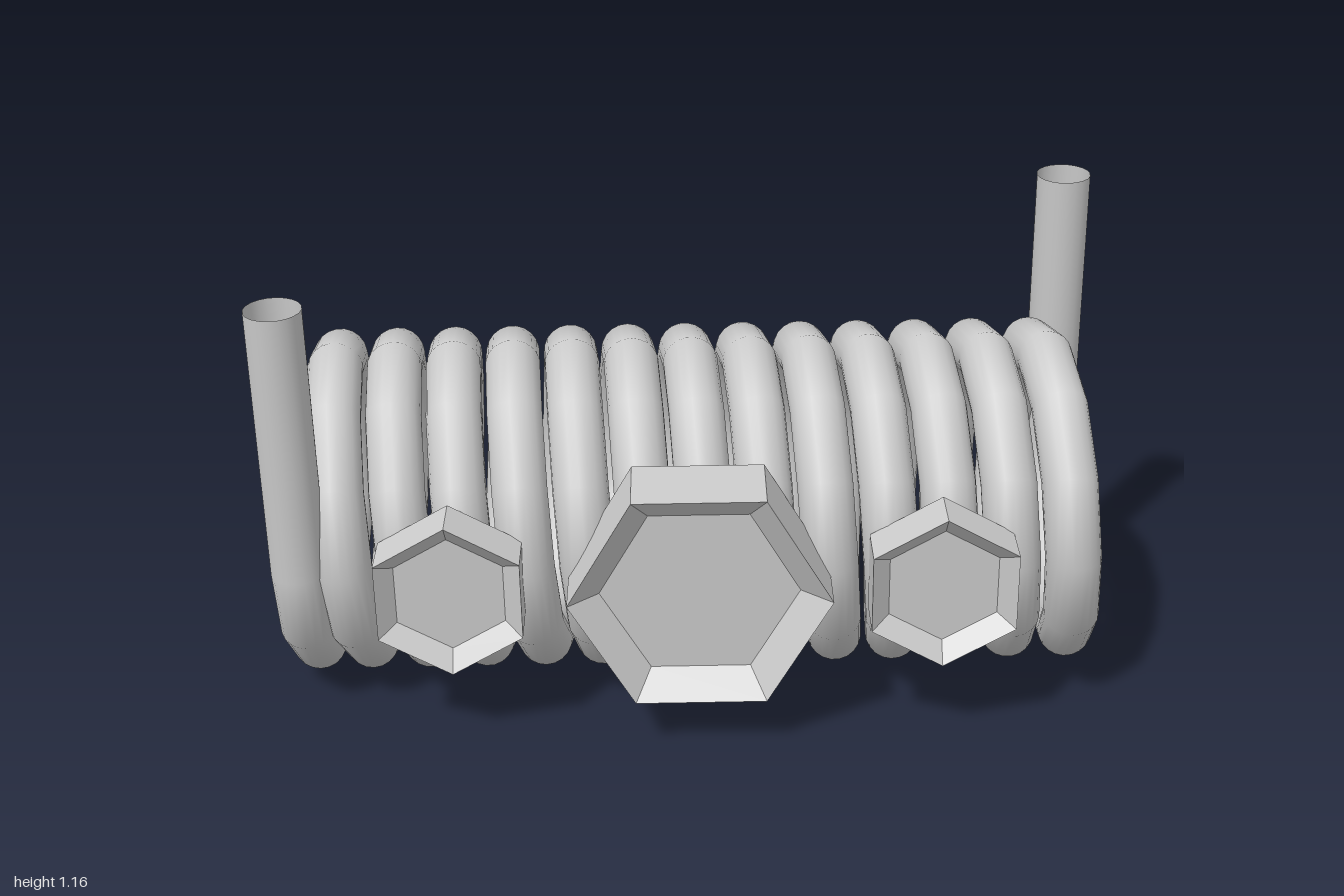
import * as THREE from 'three';

const TURNS = 13.5, PER_TURN = 12, STEPS = TURNS * PER_TURN;
const PITCH = 0.1425, COIL_R = 0.355, WIRE_R = 0.066, END_X = 0.93;
const LEFT_TOP = 0.687, RIGHT_TOP = 0.668; // heights of the two straight wire ends

// Helix around x with a straight upright leg at each end; one step per coil vertex
class WirePath extends THREE.Curve {
  getPoint(t, target = new THREE.Vector3()) {
    const s = t * (STEPS + 2) - 1;
    const k = THREE.MathUtils.clamp(s, 0, STEPS);
    const a = (k / PER_TURN) * Math.PI * 2;
    const x = THREE.MathUtils.clamp(-0.967 + (k / PER_TURN) * PITCH, -END_X, END_X);
    let y = -COIL_R * Math.sin(a);
    if (s < 0) y = -s * RIGHT_TOP;
    if (s > STEPS) y = (s - STEPS) * LEFT_TOP;
    return target.set(x, y, COIL_R * Math.cos(a));
  }
  // Even spacing by vertex instead of by arc length
  getPointAt(u, target) { return this.getPoint(u, target); }
  getTangentAt(u, target) { return this.getTangent(u, target); }
}

// Six-sided block with a tapered recess in its front
function hexStud(name, outer, inner, depth, recess, spin) {
  const profile = [[0, -depth], [outer, -depth], [outer, 0], [inner, -recess], [0, -recess]]
    .map(([r, y]) => new THREE.Vector2(r, y));
  const geometry = new THREE.LatheGeometry(profile, 6);
  geometry.rotateX(Math.PI / 2).rotateZ(spin);
  const mesh = new THREE.Mesh(geometry,
    new THREE.MeshStandardMaterial({ color: 0xcccccc, flatShading: true }));
  mesh.name = name;
  return mesh;
}

export function createModel() {
  const model = new THREE.Group();
  model.name = 'coilWithStuds';

  // Everything leans slightly about the coil centre
  const body = new THREE.Group();
  body.name = 'body';
  body.position.set(0, 0.436, -0.066);
  body.rotation.set(THREE.MathUtils.degToRad(4), 0, THREE.MathUtils.degToRad(0.8));
  model.add(body);

  // Wire coil, open at both ends
  const coil = new THREE.Mesh(
    new THREE.TubeGeometry(new WirePath(), STEPS + 2, WIRE_R, 20, false),
    new THREE.MeshStandardMaterial({ color: 0xcccccc, side: THREE.DoubleSide }));
  coil.name = 'wireCoil';
  body.add(coil);

  // Large stud in the middle
  const large = hexStud('largeStud', 0.305, 0.232, 0.18, 0.06, Math.PI / 6);
  large.position.set(0.007, -0.003, 0.538);
  body.add(large);

  // Small stud on each side
  for (const side of [-1, 1]) {
    const small = hexStud(side > 0 ? 'leftSmallStud' : 'rightSmallStud', 0.193, 0.145, 0.115, 0.04, 0);
    small.position.set(side * 0.57, -0.008, 0.503);
    body.add(small);
  }
  return model;
}
